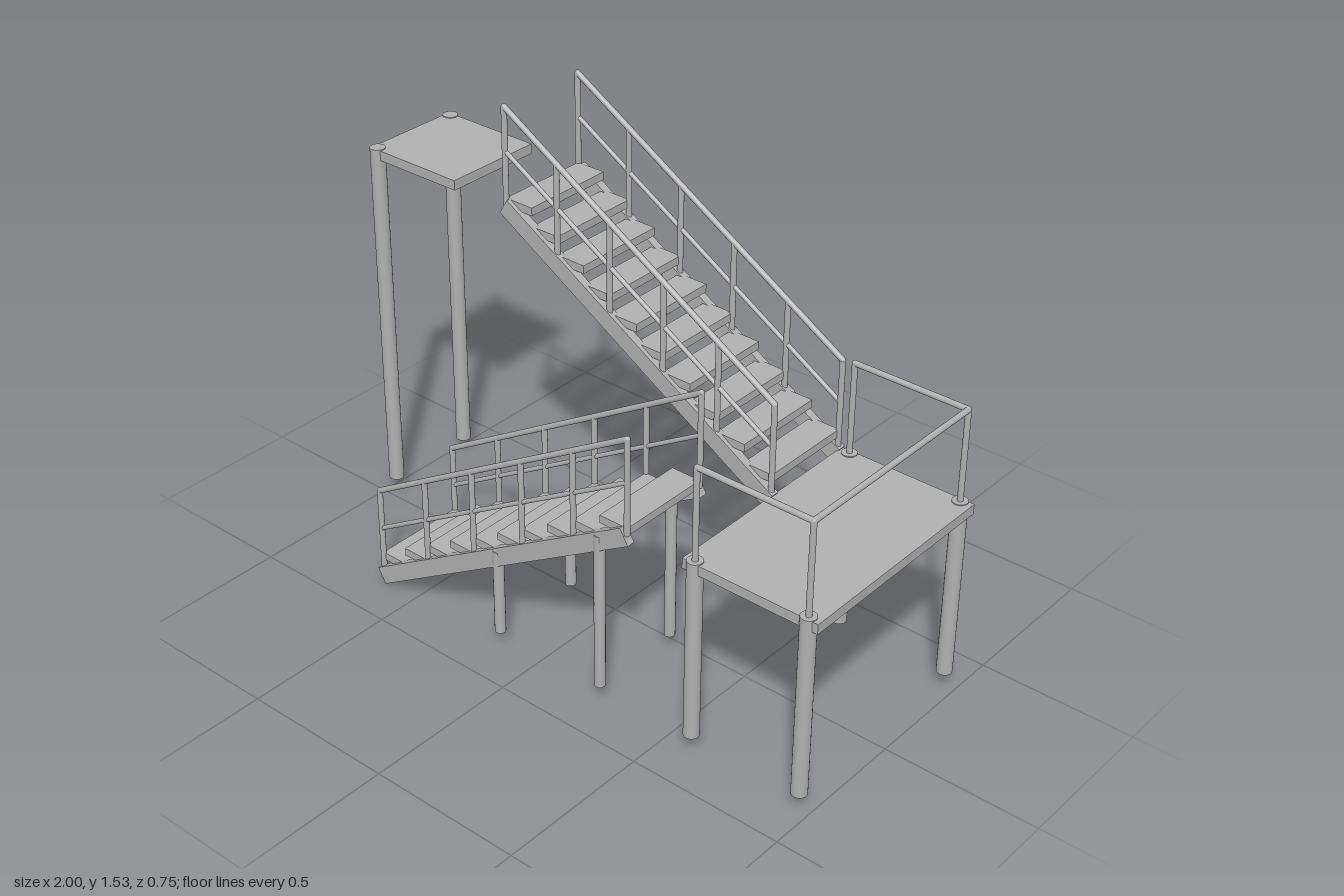
import * as THREE from 'three';

const steel = new THREE.MeshStandardMaterial({ color: 0xb0b0b0 });
steel.name = 'steel grey';

function box(name, w, h, d, x, y, z, parent) {
  const mesh = new THREE.Mesh(new THREE.BoxGeometry(w, h, d), steel);
  mesh.name = name;
  mesh.position.set(x, y, z);
  parent.add(mesh);
  return mesh;
}

// Round bar between two points
function bar(name, a, b, r, parent, sides = 16) {
  const from = new THREE.Vector3(...a), to = new THREE.Vector3(...b);
  const dir = to.clone().sub(from);
  const mesh = new THREE.Mesh(new THREE.CylinderGeometry(r, r, dir.length(), sides), steel);
  mesh.name = name;
  mesh.position.copy(from).add(to).multiplyScalar(0.5);
  mesh.quaternion.setFromUnitVectors(new THREE.Vector3(0, 1, 0), dir.normalize());
  parent.add(mesh);
}

// Ball that closes the corner of two rails
function joint(p, r, parent) {
  const mesh = new THREE.Mesh(new THREE.SphereGeometry(r, 12, 8), steel);
  mesh.name = 'railJoint';
  mesh.position.set(...p);
  parent.add(mesh);
}

const RAIL = 0.009, LEG = 0.024, STEPS = 10, BAYS = 5;
const INNER = 0.036, OUTER = 0.35;

// One flight from (x0, y0) to (x1, y1), given along the stringer centre line
function flight(name, x0, y0, x1, y1, side) {
  const g = new THREE.Group();
  g.name = name;
  const dx = x1 - x0, dy = y1 - y0;
  const at = (t, lift, z) => [x0 + dx * t, y0 + dy * t + lift, z];
  for (const z of [INNER * side, OUTER * side]) {
    const s = box('stringer', Math.hypot(dx, dy), 0.056, 0.027, x0 + dx / 2, y0 + dy / 2, z, g);
    s.rotation.z = Math.atan2(dy, dx);
    // Handrail, middle rail and posts
    bar('handrail', at(0, 0.31, z), at(1, 0.31, z), RAIL, g);
    bar('middleRail', at(0, 0.172, z), at(1, 0.172, z), 0.007, g);
    for (let i = 0; i <= BAYS; i++) {
      bar('railPost', at(i / BAYS, 0, z), at(i / BAYS, 0.31, z), RAIL, g);
    }
    joint(at(0, 0.31, z), RAIL, g);
    joint(at(1, 0.31, z), RAIL, g);
  }
  // Treads between the stringers
  for (let i = 0; i < STEPS; i++) {
    const [x, y] = at((i + 0.5) / STEPS, 0.039, 0);
    box('tread', 0.1, 0.026, OUTER - INNER, x, y, side * (INNER + OUTER) / 2, g);
  }
  return g;
}

export function createModel() {
  const model = new THREE.Group();
  model.name = 'staircase';

  // Two flights running in opposite directions
  const lower = flight('lowerFlight', -0.638, 0.025, 0.345, 0.617, 1);
  const upper = flight('upperFlight', -0.445, 1.215, 0.542, 0.624, -1);
  model.add(lower, upper);

  // Support legs under the lower flight
  for (const z of [INNER, OUTER]) {
    bar('supportLeg', [-0.147, 0.05, z], [-0.147, 0.34, z], 0.017, lower);
    bar('supportLeg', [0.245, 0.05, z], [0.245, 0.575, z], 0.017, lower);
  }

  // Middle landing with legs and a three-sided rail
  const landing = new THREE.Group();
  landing.name = 'middleLanding';
  model.add(landing);
  box('landingDeck', 0.45, 0.032, 0.725, 0.773, 0.626, 0, landing);
  const near = 0.583, far = 0.959, top = 0.94;
  for (const z of [-OUTER, OUTER]) {
    for (const x of [near, far]) {
      bar('landingLeg', [x, 0.05, z], [x, 0.645, z], LEG, landing, 24);
      bar('landingPost', [x, 0.64, z], [x, top, z], RAIL, landing);
      joint([x, top, z], RAIL, landing);
    }
    bar('landingRail', [near, top, z], [far, top, z], RAIL, landing);
  }
  bar('landingRail', [far, top, -OUTER], [far, top, OUTER], RAIL, landing);

  // Top landing on two tall legs
  const topLanding = new THREE.Group();
  topLanding.name = 'topLanding';
  model.add(topLanding);
  box('topDeck', 0.35, 0.032, 0.335, -0.819, 1.217, -0.193, topLanding);
  for (const z of [-INNER, -OUTER]) {
    bar('tallLeg', [-0.976, 0.05, z], [-0.976, 1.236, z], LEG, topLanding, 24);
  }

  return model;
}
